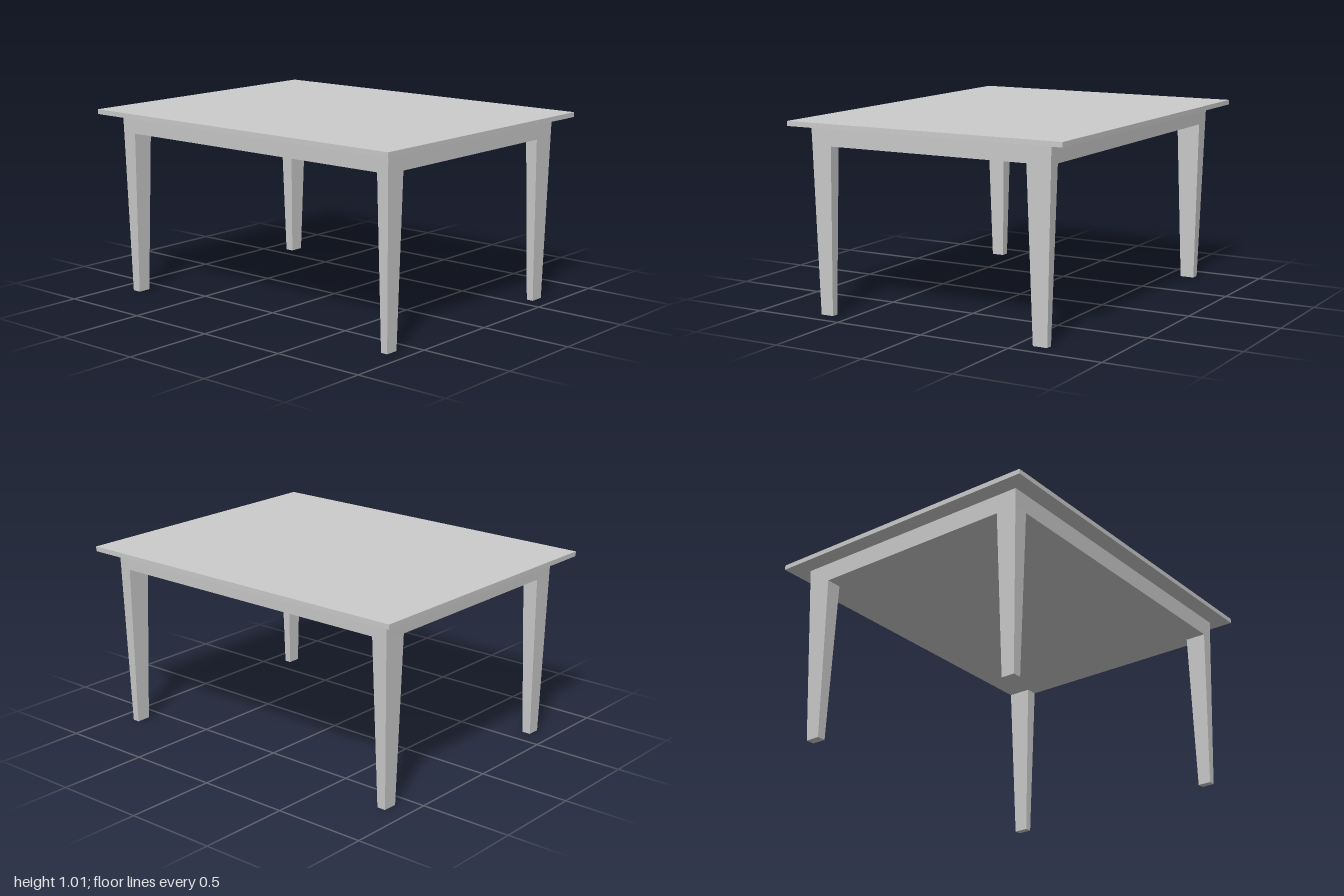
import * as THREE from 'three';

const material = new THREE.MeshStandardMaterial({ color: 0xcccccc, flatShading: true });

// Box whose bottom and top rectangles are given separately as [x0, x1, z0, z1]
function taperedBox(name, y0, y1, bottom, top) {
  const geometry = new THREE.BoxGeometry(1, 1, 1);
  const p = geometry.attributes.position;
  for (let i = 0; i < p.count; i++) {
    const upper = p.getY(i) > 0;
    const r = upper ? top : bottom;
    p.setXYZ(i, r[p.getX(i) > 0 ? 1 : 0], upper ? y1 : y0, r[p.getZ(i) > 0 ? 3 : 2]);
  }
  geometry.computeVertexNormals();
  const mesh = new THREE.Mesh(geometry, material);
  mesh.name = name;
  return mesh;
}

export function createModel() {
  const group = new THREE.Group();
  group.name = 'table';

  const topY = 1.013, slabY = 0.987, apronY = 0.887;

  // Thin overhanging top
  const slab = [-0.79, 0.79, -1, 1];
  group.add(taperedBox('tableTop', slabY, topY, slab, slab));

  // Solid apron, its sides carrying on the slope of the legs
  group.add(taperedBox('apron', apronY, slabY,
    [-0.692, 0.688, -0.904, 0.923], [-0.695, 0.691, -0.906, 0.925]));

  // Leg extents at the floor and where they meet the apron
  const xSides = {
    Right: { foot: [-0.67, -0.598], head: [-0.692, -0.577] },
    Left: { foot: [0.583, 0.662], head: [0.556, 0.688] },
  };
  const zSides = {
    front: { foot: [0.869, 0.907], head: [0.856, 0.923] },
    back: { foot: [-0.887, -0.839], head: [-0.904, -0.818] },
  };
  for (const [zName, z] of Object.entries(zSides)) {
    for (const [xName, x] of Object.entries(xSides)) {
      group.add(taperedBox(`${zName}${xName}Leg`, 0, apronY,
        [...x.foot, ...z.foot], [...x.head, ...z.head]));
    }
  }
  return group;
}
